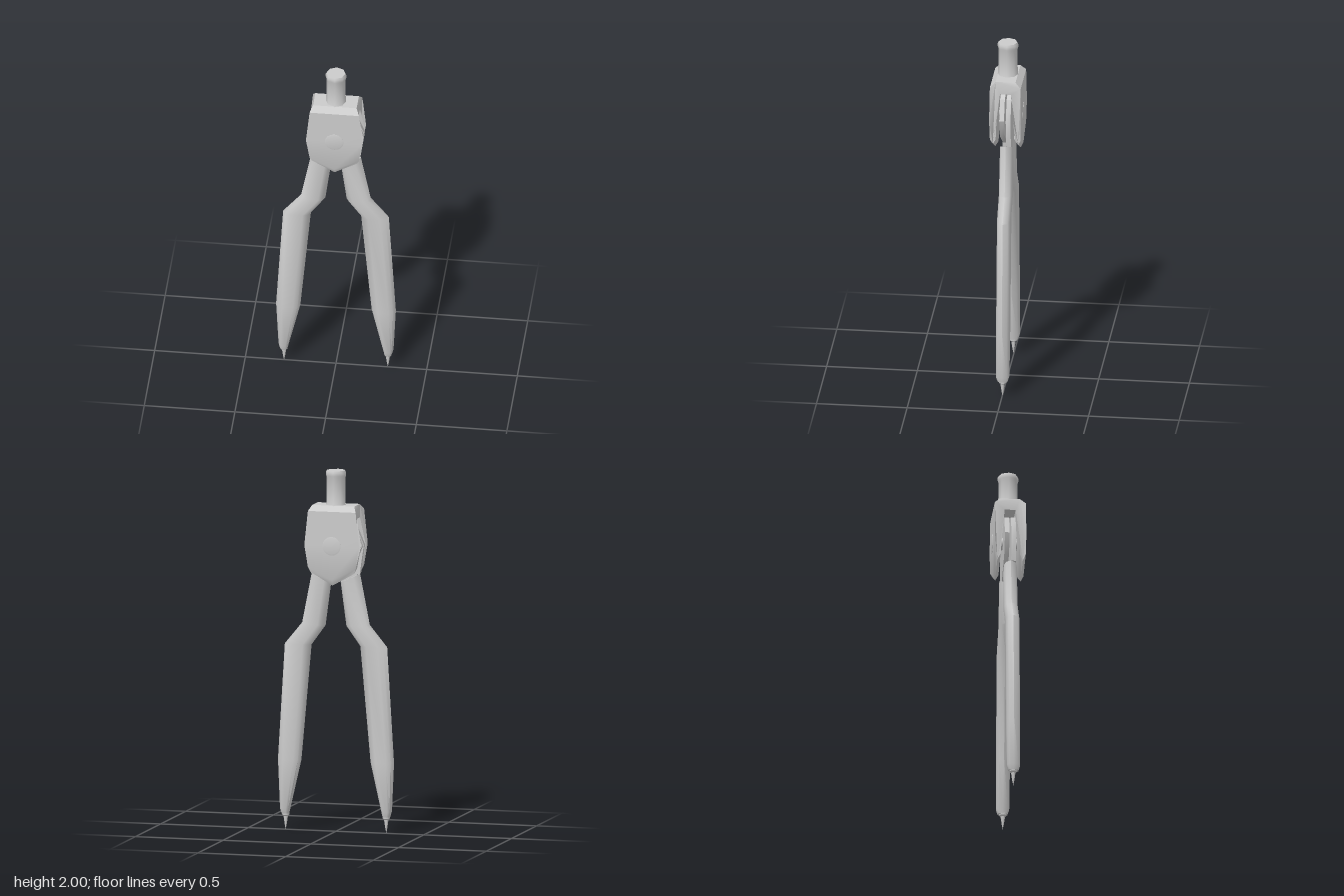
import * as THREE from 'three';
import { toCreasedNormals } from 'three/addons/utils/BufferGeometryUtils.js';

const grey = new THREE.MeshStandardMaterial({ color: 0xcccccc });
const PIVOT = 1.59;

function part(name, geometry, parent, crease = 0.6) {
  const mesh = new THREE.Mesh(toCreasedNormals(geometry, crease), grey);
  mesh.name = name;
  parent.add(mesh);
  return mesh;
}

const lathe = (points, sides) =>
  new THREE.LatheGeometry(points.map(([r, y]) => new THREE.Vector2(r, y)), sides);

// Straight-line interpolation in a table of [y, value], y falling
function sample(table, y) {
  for (let i = 0; i < table.length - 1; i++) {
    const [y0, v0] = table[i], [y1, v1] = table[i + 1];
    if (y >= y1) return THREE.MathUtils.lerp(v0, v1, (y0 - y) / (y0 - y1));
  }
  return table[table.length - 1][1];
}

// Forked head: an upside-down U swept across x, then shaped to the cheek outline
function headGeometry() {
  const half = [[0.055, 1.81], [0.085, 1.78], [0.087, 1.59], [0.085, 1.47],
    [0.07, 1.44], [0.053, 1.47], [0.046, 1.59], [0.03, 1.74]];
  const mirrored = half.map(([z, y]) => [-z, y]).reverse();
  const shape = new THREE.Shape([...half, ...mirrored].map(p => new THREE.Vector2(...p)));
  const geo = new THREE.ExtrudeGeometry(shape, { depth: 2, steps: 2, bevelEnabled: false });
  geo.translate(0, 0, -1).rotateY(Math.PI / 2);
  const width = [[1.81, 0.12], [1.78, 0.136], [1.59, 0.156], [1.47, 0.136], [1.44, 0.125]];
  const pos = geo.attributes.position;
  for (let i = 0; i < pos.count; i++) {
    const x = pos.getX(i), y = pos.getY(i), z = pos.getZ(i);
    const waist = Math.abs(z) < 0.04 ? 0.012 : 0;
    pos.setX(i, x * (sample(width, y) - waist));
    // the cheeks end in a blunt point below the middle
    if (Math.abs(x) < 0.5 && y < 1.5) pos.setY(i, y - 0.07);
  }
  return geo;
}

// Leg: rounded sections between an outer and an inner edge, from the top down
function legGeometry() {
  // [outer x, outer y, inner x, inner y, half thickness]
  const rings = [
    [0.137, 1.43, 0.026, 1.38, 0.035],
    [0.192, 1.15, 0.058, 1.14, 0.036],
    [0.291, 1.03, 0.138, 1.03, 0.036],
    [0.330, 0.39, 0.196, 0.39, 0.036],
    [0.317, 0.12, 0.259, 0.12, 0.036],
    [0.308, 0.09, 0.266, 0.09, 0.027]];
  const section = [[1, 0], [0.8, 0.7], [0.45, 1], [-0.45, 1], [-0.8, 0.7],
    [-1, 0], [-0.8, -0.7], [-0.45, -1], [0.45, -1], [0.8, -0.7]];
  const n = section.length, last = (rings.length - 1) * n;
  const pos = [], index = [];
  for (const [ox, oy, ix, iy, t] of rings) {
    for (const [u, v] of section) {
      const k = (1 - u) / 2;
      pos.push(ox + (ix - ox) * k, oy + (iy - oy) * k, v * t);
    }
  }
  for (const [ox, oy, ix, iy] of [rings[0], rings[rings.length - 1]]) {
    pos.push((ox + ix) / 2, (oy + iy) / 2, 0);
  }
  const topCentre = rings.length * n;
  for (let j = 0; j < n; j++) {
    const k = (j + 1) % n;
    for (let r = 0; r < last; r += n) {
      index.push(r + j, r + k, r + n + j, r + k, r + n + k, r + n + j);
    }
    index.push(topCentre, k, j, topCentre + 1, last + j, last + k);
  }
  const geo = new THREE.BufferGeometry();
  geo.setAttribute('position', new THREE.Float32BufferAttribute(pos, 3));
  geo.setIndex(index);
  geo.computeVertexNormals();
  return geo;
}

// Hinge tab: an eight-sided disc that runs down into the leg
function tabGeometry() {
  const points = [];
  for (let i = 0; i <= 5; i++) {
    const a = i * Math.PI / 4;
    points.push(new THREE.Vector2(0.157 * Math.cos(a), PIVOT + 0.157 * Math.sin(a)));
  }
  points.push(new THREE.Vector2(0.03, 1.38), new THREE.Vector2(0.134, 1.43));
  const geo = new THREE.ExtrudeGeometry(new THREE.Shape(points), { depth: 0.026, bevelEnabled: false });
  return geo.translate(0, 0, -0.031);
}

function makeLeg(name) {
  const leg = new THREE.Group();
  leg.name = name;
  part('legBody', legGeometry(), leg, 0.9).position.z = -0.003;
  part('hingeTab', tabGeometry(), leg);
  // needle point with its collar
  const needle = lathe([[0, 0], [0.006, 0.03], [0.011, 0.065], [0.012, 0.075],
    [0.02, 0.082], [0.021, 0.095], [0, 0.095]], 10);
  part('needle', needle, leg, 0.7).position.set(0.286, 0, -0.002);
  return leg;
}

export function createModel() {
  const model = new THREE.Group();
  model.name = 'drawingCompass';

  part('head', headGeometry(), model, 0.7);

  // Eight-sided handle with a slightly wider rim
  part('handle', lathe([[0.07, 1.785], [0.054, 1.815], [0.053, 1.96], [0.057, 1.972],
    [0.057, 1.99], [0.052, 2], [0, 2]], 8), model, 0.9);

  // Pivot pin through the fork, with a flat head on each cheek
  const pin = new THREE.CylinderGeometry(0.034, 0.034, 0.16, 16).rotateX(Math.PI / 2);
  part('pivotPin', pin, model).position.y = PIVOT;
  for (const side of [1, -1]) {
    const cap = lathe([[0.052, 0.08], [0.052, 0.088], [0.044, 0.09], [0, 0.09]], 16);
    cap.rotateX(side * Math.PI / 2);
    part(side > 0 ? 'frontPinHead' : 'backPinHead', cap, model).position.y = PIVOT;
  }

  // The two legs are the same part, turned half round
  const leftLeg = makeLeg('leftLeg');
  const rightLeg = makeLeg('rightLeg');
  rightLeg.rotation.y = Math.PI;
  model.add(leftLeg, rightLeg);

  return model;
}
